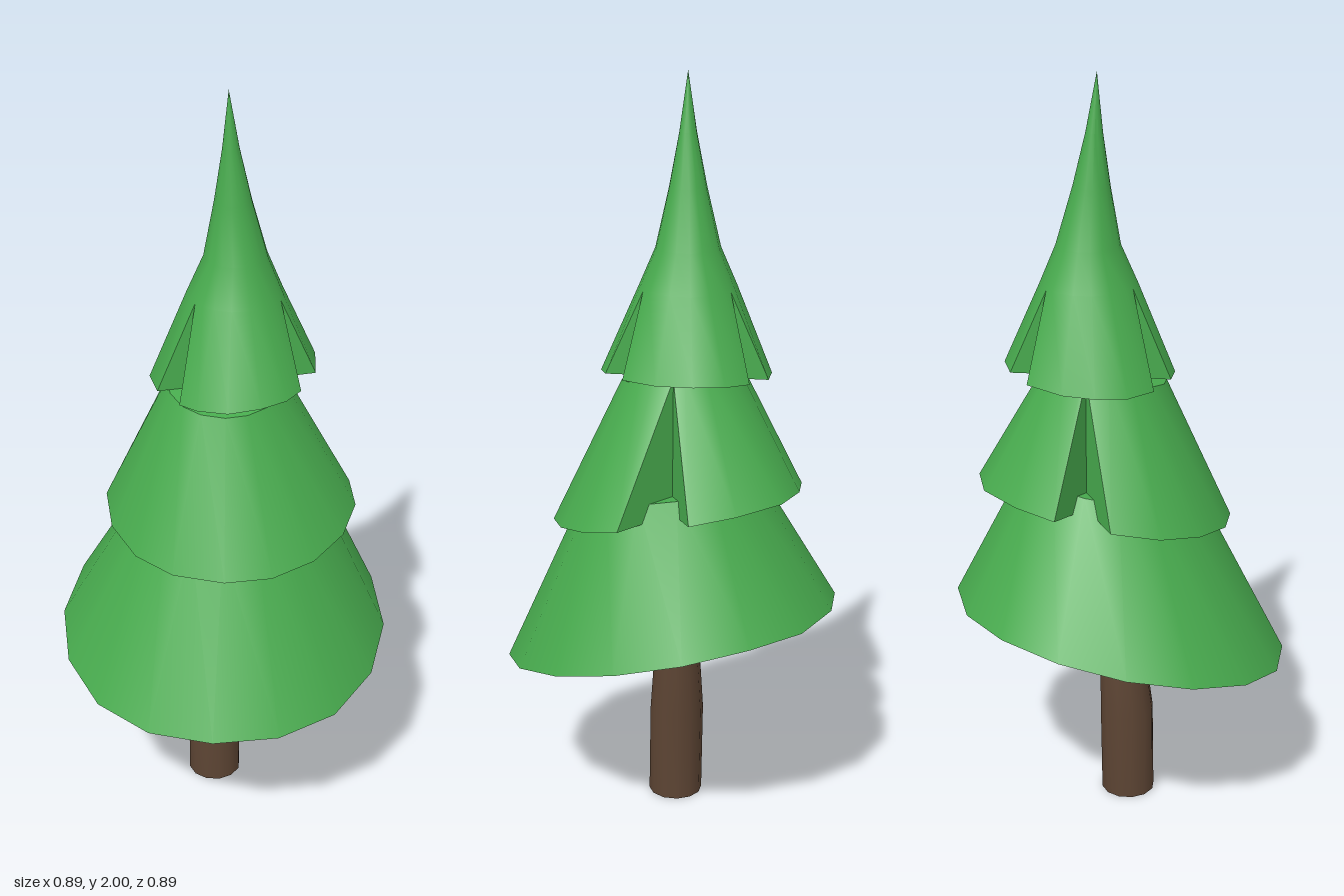
import * as THREE from 'three';
import { toCreasedNormals } from 'three/addons/utils/BufferGeometryUtils.js';

const GREEN = 0x48ab4e, BROWN = 0x5c4433;

const circle = (sides, cx, cz, r) => Array.from({ length: sides }, (_, i) => {
  const a = (i / sides) * Math.PI * 2;
  return [cx + Math.cos(a) * r, cz + Math.sin(a) * r];
});

// Skins a rim of [x, z, notch] points up through round rings [y, cx, cz, r, tilt], with an optional underside.
// A notch is a rim point pulled inwards; its walls meet at one point on the next ring.
function loft(name, color, rim, rimY, rings, crease, underside = true) {
  const [, ox, oz] = rings[0];
  const angles = rim.map(([x, z]) => Math.atan2(z - oz, x - ox));
  const levels = [rim.map(([x, z]) => [x, rimY(x, z), z])];
  for (const [y, cx, cz, r, tilt = 0] of rings) {
    levels.push(angles.map((a) => {
      const dx = Math.cos(a) * r, dz = Math.sin(a) * r;
      return [cx + dx, y - tilt * (dx + dz), cz + dz];
    }));
  }
  const pos = [];
  const tri = (...corners) => corners.forEach((p) => pos.push(...p));
  const n = rim.length;
  rings.forEach((ring, k) => {
    const low = levels[k], high = levels[k + 1];
    for (let i = 0; i < n; i++) {
      const j = (i + 1) % n;
      if (ring[3] === 0) {
        tri(low[i], high[i], low[j]);
      } else if (rim[i][2]) {
        tri(low[i], high[i], low[j]);
        tri(low[j], high[i], high[j]);
      } else {
        tri(low[i], high[i], high[j]);
        tri(low[i], high[j], low[j]);
      }
    }
  });
  if (underside) {
    const centre = [ox, rimY(ox, oz), oz];
    for (let i = 0; i < n; i++) tri(centre, levels[0][i], levels[0][(i + 1) % n]);
  }
  const geometry = new THREE.BufferGeometry();
  geometry.setAttribute('position', new THREE.Float32BufferAttribute(pos, 3));
  const material = new THREE.MeshStandardMaterial({ color, side: THREE.DoubleSide });
  const mesh = new THREE.Mesh(toCreasedNormals(geometry, crease), material);
  mesh.name = name;
  return mesh;
}

export function createModel() {
  const tree = new THREE.Group();
  tree.name = 'pineTree';

  // slightly bent, tapering trunk, open at both ends
  tree.add(loft('trunk', BROWN, circle(12, -0.011, 0.024, 0.073), () => 0, [
    [0.25, -0.015, 0.022, 0.073],
    [0.36, -0.015, 0.014, 0.066],
    [0.52, -0.013, 0.007, 0.055],
  ], 0.8, false));

  // lower foliage: a whole skirt with a tilted rim and top
  tree.add(loft('lowerFoliage', GREEN, circle(16, 0, 0, 0.445),
    (x, z) => THREE.MathUtils.clamp(0.51 - 0.18 * x - 0.17 * z, 0.421, 0.61), [
      [0.925, 0.005, -0.03, 0.232, 0.13],
      [0.925, 0.005, -0.03, 0],
    ], 0.8));

  // middle foliage: two notches at the back and right, tilted top
  const middleRim = [
    [0.315, -0.035], [0.29, 0.09], [0.225, 0.195], [0.11, 0.27], [-0.01, 0.295],
    [-0.14, 0.27], [-0.25, 0.2], [-0.31, 0.09], [-0.18, -0.028, 1], [-0.34, -0.05],
    [-0.32, -0.165], [-0.26, -0.28], [-0.14, -0.35], [-0.02, -0.375], [0.01, -0.2, 1],
    [0.155, -0.32], [0.235, -0.265], [0.295, -0.16],
  ];
  tree.add(loft('middleFoliage', GREEN, middleRim,
    (x, z) => Math.max(0.822, 0.873 - 0.14 * x - 0.14 * z), [
      [1.233, -0.022, -0.03, 0.154, 0.14],
      [1.233, -0.022, -0.03, 0],
    ], 0.7));

  // upper foliage: three notches and a long concave tip
  const upperRim = [
    [0.185, -0.05], [0.165, 0.02], [0.12, 0.09], [0.05, 0.13], [-0.01, 0.14],
    [-0.05, 0.05, 1], [-0.11, 0.13], [-0.19, 0.09], [-0.235, 0.02], [-0.255, -0.06],
    [-0.235, -0.165], [-0.14, -0.15, 1], [-0.18, -0.235], [-0.115, -0.28], [-0.035, -0.29],
    [0.055, -0.275], [0.135, -0.2], [0.08, -0.125, 1], [0.175, -0.11],
  ];
  tree.add(loft('upperFoliage', GREEN, upperRim,
    (x, z) => 1.235 + 0.03 * x - 0.085 * z, [
      [1.465, -0.037, -0.075, 0.126],
      [1.565, -0.037, -0.076, 0.083],
      [1.715, -0.037, -0.066, 0.048],
      [1.85, -0.037, -0.058, 0.022],
      [2, -0.037, -0.05, 0],
    ], 0.7));

  return tree;
}
